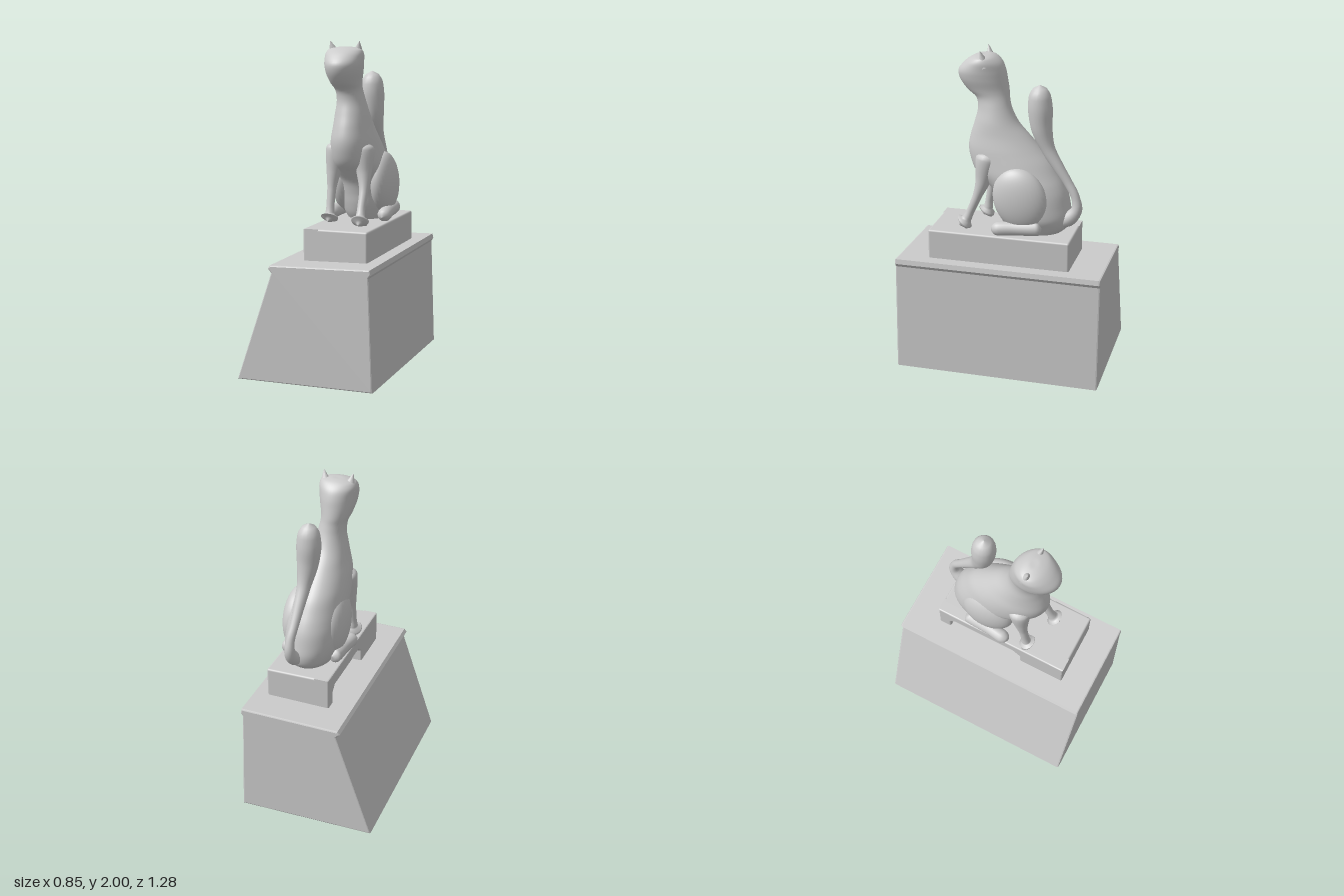
import * as THREE from 'three';
import { mergeVertices } from 'three/addons/utils/BufferGeometryUtils.js';
import { RoundedBoxGeometry } from 'three/addons/geometries/RoundedBoxGeometry.js';

const material = new THREE.MeshStandardMaterial({ color: 0xcccccc });

function add(parent, name, geometry) {
  const mesh = new THREE.Mesh(geometry, material);
  mesh.name = name;
  parent.add(mesh);
  return mesh;
}

// Weld the seams so that normals are smooth all round
function smooth(geometry) {
  geometry.deleteAttribute('uv');
  geometry.deleteAttribute('normal');
  const g = mergeVertices(geometry, 1e-5);
  g.computeVertexNormals();
  return g;
}

// Tapering round limb: each point is [x, y, z, radius]
function limb(points) {
  const curve = new THREE.CatmullRomCurve3(points.map(p => new THREE.Vector3(p[0], p[1], p[2])));
  const radii = new THREE.CatmullRomCurve3(points.map(p => new THREE.Vector3(p[3], 0, 0)));
  const n = 48, sides = 18;
  const g = new THREE.TubeGeometry(curve, n, 1, sides);
  const pos = g.attributes.position, v = new THREE.Vector3();
  for (let i = 0; i <= n; i++) {
    const c = curve.getPointAt(i / n);
    const r = Math.max(0.001, radii.getPoint(curve.getUtoTmapping(i / n)).x);
    for (let j = 0; j <= sides; j++) {
      const k = i * (sides + 1) + j;
      v.fromBufferAttribute(pos, k).sub(c).multiplyScalar(r).add(c);
      pos.setXYZ(k, v.x, v.y, v.z);
    }
  }
  return smooth(g);
}

// Upright loft of oval sections: each row is [y, zFront, zBack, xMin, xMax]
function loft(rows) {
  const spline = (a, b, c) => new THREE.CatmullRomCurve3(
    rows.map(r => new THREE.Vector3(r[a], r[b], c === undefined ? 0 : r[c])));
  const depth = spline(0, 1, 2), width = spline(3, 4);
  const n = 90, sides = 40, verts = [], index = [];
  for (let i = 0; i <= n; i++) {
    const d = depth.getPoint(i / n), w = width.getPoint(i / n);
    const cx = (w.x + w.y) / 2, rx = (w.y - w.x) / 2;
    const cz = (d.y + d.z) / 2, rz = (d.y - d.z) / 2;
    for (let j = 0; j < sides; j++) {
      const a = j / sides * Math.PI * 2;
      verts.push(cx + rx * Math.sin(a), d.x, cz + rz * Math.cos(a));
      if (i < n) {
        const p = i * sides + j, q = i * sides + (j + 1) % sides;
        index.push(p, q, q + sides, p, q + sides, p + sides);
      }
    }
  }
  const g = new THREE.BufferGeometry();
  g.setAttribute('position', new THREE.Float32BufferAttribute(verts, 3));
  g.setIndex(index);
  g.computeVertexNormals();
  return g;
}

const outline = pts => new THREE.Shape(pts.map(p => new THREE.Vector2(p[0], p[1])));

function buildBase(parent) {
  // Pedestal with one sloping side and a slight lip at the top
  const profile = outline([[-0.43, 0], [0.42, 0], [0.395, 0.67], [0.408, 0.69], [0.402, 0.72],
    [-0.215, 0.705], [-0.23, 0.685], [-0.208, 0.66]]);
  const pedestal = new THREE.ExtrudeGeometry(profile, {
    depth: 1.26, bevelEnabled: true, bevelSize: 0.008, bevelThickness: 0.01, bevelOffset: -0.008, bevelSegments: 2
  });
  add(parent, 'pedestal', pedestal.translate(0, 0, -0.63));

  // Plinth, with a recess along the foot of its right side
  const plinth = add(parent, 'plinth', new RoundedBoxGeometry(0.34, 0.23, 0.88, 3, 0.012));
  plinth.position.set(0.15, 0.785, 0.01);
  const side = outline([[-0.43, 0.68], [-0.35, 0.68], [-0.35, 0.78], [-0.31, 0.82], [0.1, 0.82], [0.15, 0.78],
    [0.15, 0.68], [0.45, 0.68], [0.45, 0.9], [-0.43, 0.9]]);
  const face = new THREE.ExtrudeGeometry(side, {
    depth: 0.08, bevelEnabled: true, bevelSize: 0.008, bevelThickness: 0.008, bevelOffset: -0.008, bevelSegments: 2
  });
  add(parent, 'plinthSide', face.rotateY(-Math.PI / 2).translate(0.008, 0, 0));
}

function buildCat(parent) {
  // Trunk, neck and head in one continuous form
  add(parent, 'bodyAndHead', loft([
    [0.89, 0.0, -0.33, 0.0, 0.24],
    [0.94, 0.03, -0.385, -0.03, 0.26],
    [1.0, 0.05, -0.4, -0.05, 0.28],
    [1.07, 0.065, -0.39, -0.06, 0.28],
    [1.14, 0.09, -0.375, -0.06, 0.275],
    [1.2, 0.145, -0.35, -0.06, 0.27],
    [1.26, 0.205, -0.315, -0.06, 0.26],
    [1.33, 0.235, -0.27, -0.055, 0.245],
    [1.4, 0.245, -0.205, -0.045, 0.23],
    [1.48, 0.23, -0.13, -0.025, 0.21],
    [1.56, 0.205, -0.06, -0.01, 0.195],
    [1.64, 0.187, -0.02, 0.003, 0.175],
    [1.7, 0.2, -0.005, 0.0, 0.162],
    [1.75, 0.26, 0.0, -0.018, 0.165],
    [1.81, 0.302, 0.01, -0.035, 0.18],
    [1.86, 0.31, 0.02, -0.042, 0.188],
    [1.91, 0.272, 0.04, -0.045, 0.19],
    [1.945, 0.225, 0.075, -0.03, 0.178],
    [1.96, 0.18, 0.11, 0.03, 0.12],
    [1.961, 0.146, 0.144, 0.074, 0.076]
  ]));

  for (const [name, s] of [['left', 1], ['right', -1]]) {
    // Small pointed ear
    const ear = add(parent, name + 'Ear', new THREE.ConeGeometry(0.045, 0.1, 20));
    ear.scale.z = 0.75;
    ear.position.set(0.073 + s * 0.082, 1.95, 0.142);
    ear.rotation.set(0.25, 0, -s * 0.22);

    // Haunch
    const haunch = add(parent, name + 'Haunch', new THREE.SphereGeometry(1, 32, 24));
    haunch.scale.set(0.085, 0.2, 0.165);
    haunch.position.set(0.115 + s * 0.12, 1.12, -0.11);
    haunch.rotation.x = 0.35;

    // Hind foot
    const x = 0.11 + s * 0.17;
    add(parent, name + 'HindFoot', limb([
      [x - s * 0.03, 0.96, -0.25, 0.0], [x - s * 0.02, 0.955, -0.22, 0.045],
      [x - s * 0.01, 0.945, -0.08, 0.042], [x, 0.938, 0.01, 0.043], [x, 0.93, 0.045, 0.03], [x, 0.925, 0.06, 0]
    ]));
  }

  // Front legs, the left one stepping forward
  add(parent, 'leftFrontLeg', limb([
    [0.165, 1.4, 0.1, 0], [0.175, 1.34, 0.11, 0.07], [0.19, 1.2, 0.135, 0.045], [0.2, 1.1, 0.17, 0.028],
    [0.2, 1.0, 0.213, 0.025], [0.203, 0.945, 0.24, 0.03], [0.205, 0.922, 0.26, 0.03], [0.205, 0.908, 0.285, 0]
  ]));
  add(parent, 'rightFrontLeg', limb([
    [0.015, 1.4, 0.09, 0], [0.005, 1.34, 0.1, 0.07], [-0.012, 1.2, 0.12, 0.044], [-0.018, 1.1, 0.137, 0.028],
    [-0.02, 1.0, 0.155, 0.025], [-0.02, 0.945, 0.165, 0.03], [-0.02, 0.922, 0.178, 0.03], [-0.02, 0.908, 0.2, 0]
  ]));

  // Tail looping out from the rump, up the back and ending in a club
  add(parent, 'tail', limb([
    [0.15, 0.97, -0.33, 0.04], [0.155, 0.995, -0.39, 0.045], [0.16, 1.06, -0.44, 0.034], [0.158, 1.14, -0.43, 0.026],
    [0.15, 1.22, -0.385, 0.027], [0.145, 1.31, -0.325, 0.033], [0.138, 1.42, -0.257, 0.042],
    [0.13, 1.54, -0.215, 0.064], [0.125, 1.66, -0.203, 0.074], [0.125, 1.74, -0.2, 0.066],
    [0.125, 1.785, -0.2, 0.04], [0.125, 1.805, -0.2, 0]
  ]));
}

export function createModel() {
  const model = new THREE.Group();
  const base = new THREE.Group();
  base.name = 'base';
  buildBase(base);
  const cat = new THREE.Group();
  cat.name = 'cat';
  buildCat(cat);
  model.add(base, cat);
  return model;
}
